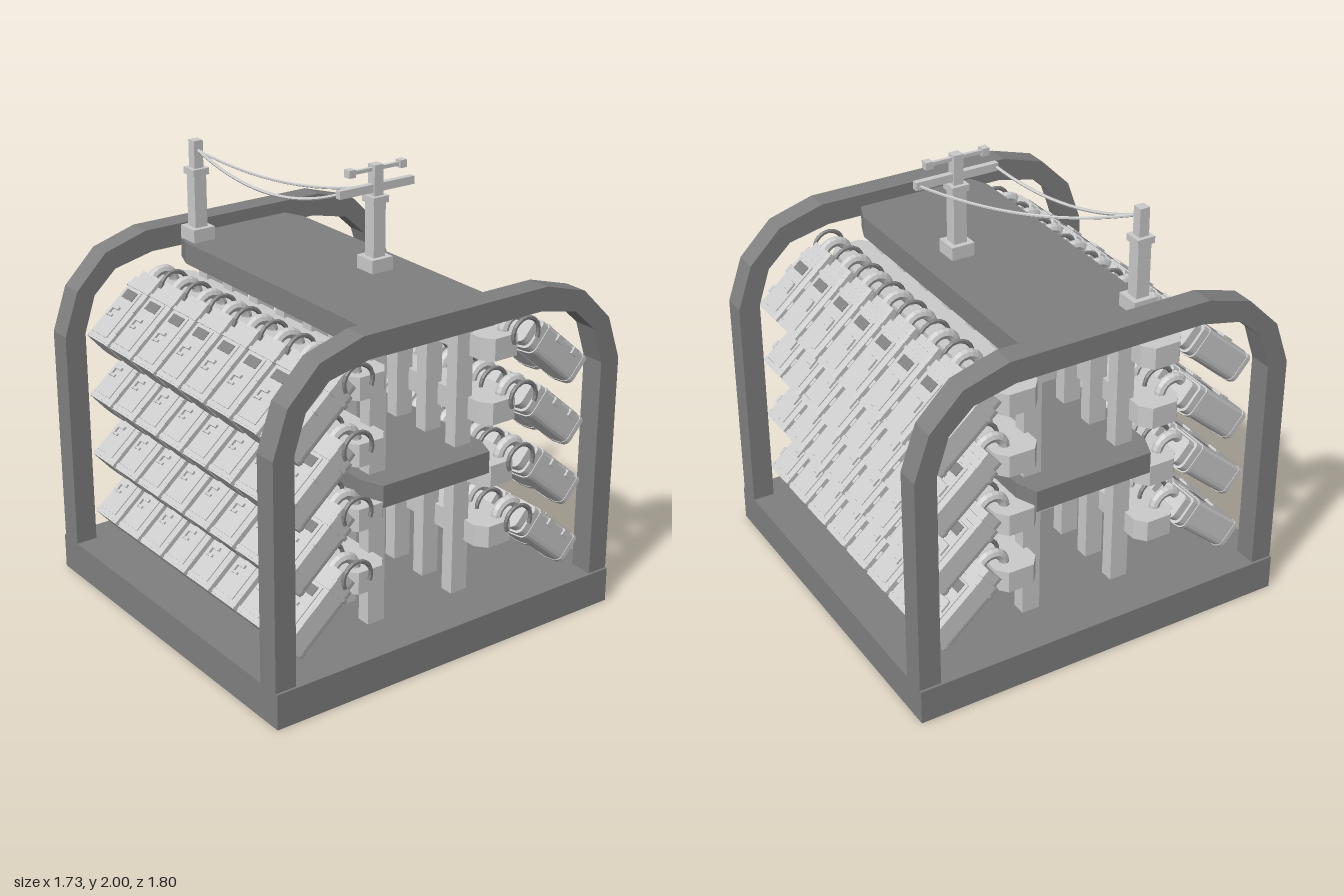
import * as THREE from 'three';

const light = new THREE.MeshStandardMaterial({ color: 0xcccccc, flatShading: true });
const dark = new THREE.MeshStandardMaterial({ color: 0x808080, flatShading: true });

function add(parent, name, geo, mat, x = 0, y = 0, z = 0) {
  const m = new THREE.Mesh(geo, mat);
  m.name = name;
  m.position.set(x, y, z);
  parent.add(m);
  return m;
}
const box = (w, h, d) => new THREE.BoxGeometry(w, h, d);
const shapeOf = (pts) => new THREE.Shape(pts.map(([x, y]) => new THREE.Vector2(x, y)));

// Horizontal slab with its four corners cut, centred on its own middle
function slab(w, h, d, cx, cz) {
  const a = w / 2, b = d / 2;
  const s = shapeOf([[-a, -b + cz], [-a + cx, -b], [a - cx, -b], [a, -b + cz],
    [a, b - cz], [a - cx, b], [-a + cx, b], [-a, b - cz]]);
  const g = new THREE.ExtrudeGeometry(s, { depth: h, bevelEnabled: false });
  return g.rotateX(-Math.PI / 2).translate(0, -h / 2, 0);
}

// Pod section: flat front (+z), rounded back, extruded along y
function podSection(w, d, len) {
  const a = w / 2, b = d / 2, r = 0.04, f = 0.012;
  const s = new THREE.Shape();
  s.moveTo(-a + f, -b);
  s.lineTo(a - f, -b);
  s.lineTo(a, -b + f);
  s.lineTo(a, b - r);
  s.quadraticCurveTo(a, b - 0.006, a - r, b - 0.004);
  s.lineTo(0, b);
  s.lineTo(-a + r, b - 0.004);
  s.quadraticCurveTo(-a, b - 0.006, -a, b - r);
  s.lineTo(-a, -b + f);
  const g = new THREE.ExtrudeGeometry(s, { depth: len, bevelEnabled: false, curveSegments: 4 });
  return g.rotateX(-Math.PI / 2).translate(0, -len / 2, 0);
}

// Upright ring segment, open at the bottom, in the yz plane
function hoop(radius, tube, sides) {
  return new THREE.TorusGeometry(radius, tube, sides, 12, Math.PI * 1.3)
    .rotateZ(-Math.PI * 0.15).rotateY(Math.PI / 2);
}

// Parts of one pod in its own frame: name, geometry, material, x, y, z
const podParts = [
  ['podBody', podSection(0.166, 0.146, 0.34), light, 0, -0.02, 0],
  ['podCap', podSection(0.142, 0.13, 0.04), light, 0, 0.17, 0],
  ['podCollar', podSection(0.174, 0.156, 0.016), light, 0, 0.105, 0],
  ['podFoot', podSection(0.172, 0.15, 0.018), light, 0, -0.172, 0],
  ['doorPanel', box(0.122, 0.25, 0.008), light, 0, -0.035, 0.074],
  ['window', box(0.085, 0.045, 0.008), dark, 0, 0.058, 0.077],
  ['latchBar', box(0.055, 0.016, 0.014), light, -0.018, -0.02, 0.081],
  ['latchGrip', box(0.016, 0.045, 0.014), light, -0.04, -0.045, 0.081],
  ['latchPlate', box(0.035, 0.012, 0.012), light, -0.022, -0.06, 0.08],
  ['hinge', box(0.016, 0.04, 0.03), light, 0.085, 0.02, 0.055],
  ['hinge', box(0.016, 0.04, 0.03), light, 0.085, -0.1, 0.055],
];
const hoseGeo = hoop(0.062, 0.024, 8);
const wireGeo = hoop(0.07, 0.01, 6);
const railGeo = slab(1.5, 0.1, 0.2, 0.05, 0.04);

// One side of the rack: four rails, each carrying eight tilted pods
function podBank() {
  const bank = new THREE.Group();
  bank.name = 'podBank';
  for (let row = 0; row < 4; row++) {
    const y = row * 0.2885;
    add(bank, 'podRail', railGeo, light, 0, 0.455 + y, 0.35);
    for (let i = 0; i < 8; i++) {
      const x = 0.0125 + 0.193 * (i - 3.5);
      const pod = new THREE.Group();
      pod.name = 'pod';
      pod.position.set(x, 0.379 + y, 0.607);
      pod.rotation.x = -0.855;
      for (const [name, geo, mat, px, py, pz] of podParts) add(pod, name, geo, mat, px, py, pz);
      bank.add(pod);
      add(bank, 'podHose', hoseGeo, light, x, 0.5 + y, 0.445);
      add(bank, 'podWire', wireGeo, dark, x + 0.085, 0.505 + y, 0.435);
    }
  }
  // Uprights behind the rails
  for (let i = -3; i <= 3; i++) add(bank, 'upright', box(0.065, 1.29, 0.085), light, i * 0.2, 0.8, 0.228);
  return bank;
}

// Stepped roof pole
function pole(name, x, z) {
  const g = new THREE.Group();
  g.name = name;
  g.position.set(x, 1.53, z);
  add(g, 'poleFoot', box(0.11, 0.065, 0.11), light, 0, 0.0325, 0);
  add(g, 'poleShaft', box(0.062, 0.27, 0.062), light, 0, 0.19, 0);
  add(g, 'poleCollar', box(0.082, 0.03, 0.082), light, 0, 0.32, 0);
  add(g, 'poleTip', box(0.046, 0.13, 0.046), light, 0, 0.395, 0);
  return g;
}

export function createModel() {
  const model = new THREE.Group();
  model.name = 'podRack';

  add(model, 'base', box(1.73, 0.163, 1.8), dark, 0, 0.0815, 0);

  // Arched end frames
  const outer = [[0.9, 0.16], [0.9, 1.18], [0.83, 1.38], [0.68, 1.53], [0.47, 1.592]];
  const inner = [[0.8, 0.16], [0.8, 1.18], [0.745, 1.345], [0.635, 1.447], [0.443, 1.49]];
  const flip = (pts) => pts.map(([z, y]) => [-z, y]).reverse();
  const archShape = shapeOf([...outer, ...flip(outer), ...inner.map(([z, y]) => [-z, y]), ...[...inner].reverse()]);
  const archGeo = new THREE.ExtrudeGeometry(archShape, { depth: 0.108, bevelEnabled: false })
    .translate(0, 0, -0.054).rotateY(Math.PI / 2);
  for (const s of [-1, 1]) add(model, 'endArch', archGeo, dark, s * 0.8, 0, 0);

  // Roof and middle decks
  const deckGeo = slab(1.5, 0.1, 0.645, 0.1, 0.04);
  add(model, 'roofDeck', deckGeo, dark, 0, 1.485, 0.005);
  add(model, 'middleDeck', deckGeo, dark, 0, 0.816, 0.005);

  // Front and back banks mirror each other
  const front = podBank();
  const back = podBank();
  back.scale.z = -1;
  model.add(front, back);

  // Roof poles
  model.add(pole('plainPole', -0.665, 0.25));
  const mast = pole('crossPole', 0.13, -0.137);
  add(mast, 'lowerCrossbar', box(0.028, 0.036, 0.395), light, 0, 0.368, 0);
  add(mast, 'upperCrossbar', box(0.016, 0.016, 0.28), light, 0, 0.45, 0);
  add(mast, 'mastHead', box(0.046, 0.04, 0.046), light, 0, 0.45, 0);
  for (const s of [-1, 1]) add(mast, 'insulator', box(0.036, 0.034, 0.034), light, 0, 0.45, s * 0.135);
  model.add(mast);

  // Sagging cables between the poles
  for (const z of [0.05, -0.325]) {
    const curve = new THREE.QuadraticBezierCurve3(
      new THREE.Vector3(-0.645, 1.945, 0.25),
      new THREE.Vector3(-0.2, 1.755, (0.25 + z) / 2 + 0.04),
      new THREE.Vector3(0.13, 1.9, z));
    add(model, 'cable', new THREE.TubeGeometry(curve, 16, 0.007, 6), light);
  }
  return model;
}
